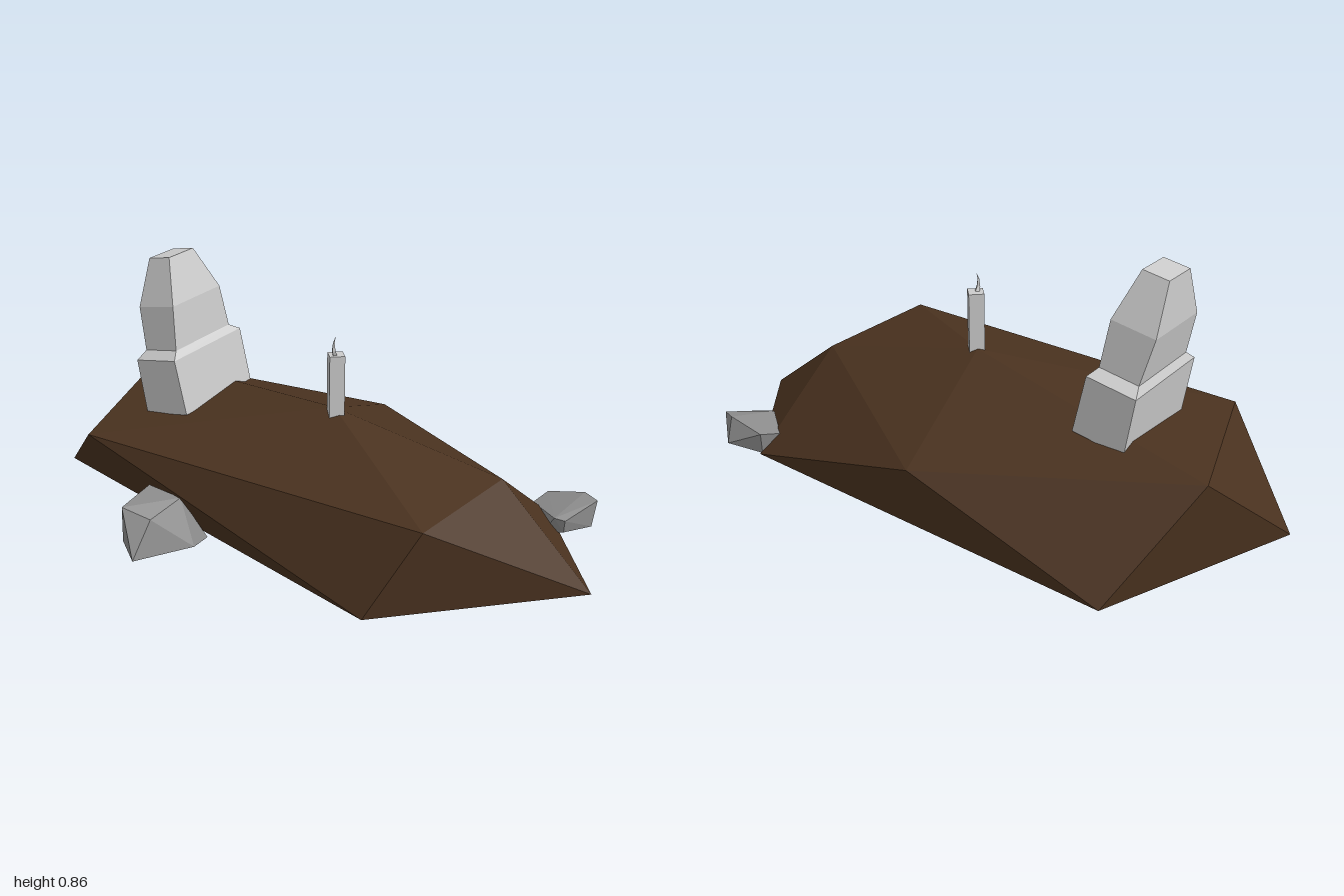
import * as THREE from 'three';
import { ConvexGeometry } from 'three/addons/geometries/ConvexGeometry.js';

const material = (color) => new THREE.MeshStandardMaterial({ color, flatShading: true });

function addMesh(parent, name, geometry, mat) {
  const mesh = new THREE.Mesh(geometry, mat);
  mesh.name = name;
  parent.add(mesh);
  return mesh;
}

// Faceted convex lump from a few corner points
const lump = (corners) => new ConvexGeometry(corners.map((c) => new THREE.Vector3(...c)));

// Stack of rectangles [height, halfWidth, halfDepth] joined into a closed solid
function rectLoft(levels) {
  const positions = [], index = [];
  for (const [h, w, d] of levels) positions.push(-w, h, d, w, h, d, w, h, -d, -w, h, -d);
  for (let l = 0; l < levels.length - 1; l++) {
    for (let i = 0; i < 4; i++) {
      const a = l * 4 + i, b = l * 4 + (i + 1) % 4;
      index.push(a, b, b + 4, a, b + 4, a + 4);
    }
  }
  const t = (levels.length - 1) * 4;
  index.push(0, 2, 1, 0, 3, 2, t, t + 1, t + 2, t, t + 2, t + 3);
  const indexed = new THREE.BufferGeometry();
  indexed.setAttribute('position', new THREE.Float32BufferAttribute(positions, 3));
  indexed.setIndex(index);
  const geometry = indexed.toNonIndexed();
  geometry.computeVertexNormals();
  return geometry;
}

export function createModel() {
  const model = new THREE.Group();
  model.name = 'graveMound';
  const earth = material(0x4a321f);
  const stone = material(0xcccccc);
  const rock = material(0x8c8c8c);

  // Earth mound: flat five-sided base and six upper corners
  addMesh(model, 'earthMound', lump([
    [0.12, 0.02, 1], [0.54, 0.02, 0.65], [0.54, 0.02, -0.74], [-0.13, 0.02, -1], [-0.42, 0.02, 0.52],
    [-0.35, 0.28, -0.67], [-0.29, 0.29, 0.64], [0.17, 0.29, 0.65],
    [0.08, 0.42, 0.06], [0.575, 0.24, -0.06], [0.23, 0.335, -0.89],
  ]), earth);

  // Headstone: plinth, narrow shoulder and tapering slab, leaning back
  const headstone = addMesh(model, 'headstone', rectLoft([
    [-0.01, 0.187, 0.09], [0.185, 0.187, 0.085], [0.21, 0.15, 0.068],
    [0.36, 0.13, 0.076], [0.515, 0.065, 0.045],
  ]), stone);
  headstone.position.set(0.052, 0.345, -0.513);
  headstone.rotation.set(-0.17, 0.05, 0.05);

  // Square candle with a bent flame
  const candle = new THREE.Group();
  candle.name = 'candle';
  candle.position.set(0.064, 0, 0.078);
  model.add(candle);
  const stick = new THREE.CylinderGeometry(0.036, 0.036, 0.225, 4);
  stick.translate(0, 0.5025, 0);
  addMesh(candle, 'candleStick', stick, stone);
  const flame = new THREE.ConeGeometry(0.011, 0.075, 4, 3);
  const p = flame.attributes.position;
  for (let i = 0; i < p.count; i++) {
    const t = p.getY(i) / 0.075 + 0.5;
    p.setX(i, p.getX(i) - 0.012 * Math.sin(t * Math.PI));
  }
  flame.translate(-0.004, 0.6425, 0);
  flame.computeVertexNormals();
  addMesh(candle, 'candleFlame', flame, stone);

  // Small rock at the front left corner
  addMesh(model, 'smallRock', lump([
    [0.385, 0.09, 0.74], [0.395, 0.085, 0.775], [0.53, 0.122, 0.825], [0.55, 0.13, 0.77],
    [0.54, 0.1, 0.64], [0.47, 0.08, 0.62],
    [0.585, 0.045, 0.76], [0.51, 0.032, 0.82], [0.4, 0.04, 0.77], [0.41, 0.01, 0.69], [0.53, 0.02, 0.65],
  ]), rock);

  // Large rock half buried in the right flank
  addMesh(model, 'largeRock', lump([
    [-0.585, 0.03, -0.25], [-0.38, 0.02, -0.17], [-0.28, 0.003, -0.2], [-0.28, 0.003, -0.3],
    [-0.505, 0.03, -0.37], [-0.34, 0.02, -0.4],
    [-0.535, 0.177, -0.335], [-0.5, 0.145, -0.245], [-0.36, 0.17, -0.24], [-0.36, 0.177, -0.38],
  ]), rock);

  return model;
}
